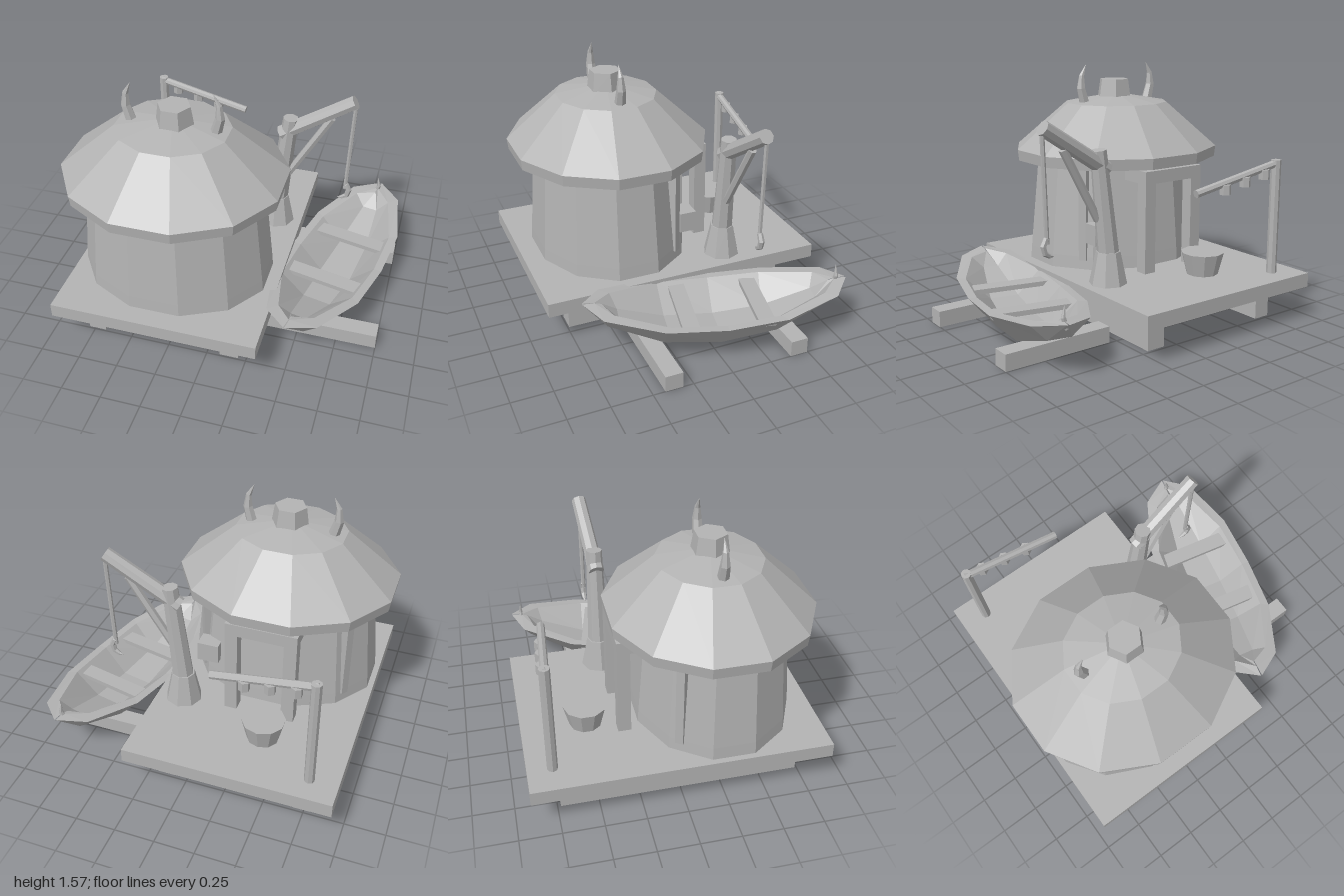
import * as THREE from 'three';

const grey = new THREE.MeshStandardMaterial({ color: 0xb3b3b3 });
grey.name = 'grey';

// Mesh with faceted normals
function add(parent, name, geometry, x = 0, y = 0, z = 0) {
  const geo = geometry.toNonIndexed();
  geo.computeVertexNormals();
  const mesh = new THREE.Mesh(geo, grey);
  mesh.name = name;
  mesh.position.set(x, y, z);
  parent.add(mesh);
  return mesh;
}

// Box given by its limits
function box(parent, name, x0, x1, y0, y1, z0, z1) {
  add(parent, name, new THREE.BoxGeometry(x1 - x0, y1 - y0, z1 - z0),
    (x0 + x1) / 2, (y0 + y1) / 2, (z0 + z1) / 2);
}

// Straight pole between two points
function pole(parent, name, a, b, rA, rB = rA, sides = 8) {
  const from = new THREE.Vector3(...a), to = new THREE.Vector3(...b);
  const dir = to.clone().sub(from);
  const mesh = add(parent, name, new THREE.CylinderGeometry(rB, rA, dir.length(), sides));
  mesh.position.copy(from).add(to).multiplyScalar(0.5);
  mesh.quaternion.setFromUnitVectors(new THREE.Vector3(0, 1, 0), dir.normalize());
}

// Skin over a row of closed rings (each ring clockwise about the direction of travel)
function loft(rings) {
  const n = rings[0].length, index = [];
  for (let i = 0; i < rings.length - 1; i++) {
    for (let j = 0; j < n; j++) {
      const a = i * n + j, b = i * n + (j + 1) % n;
      index.push(a, a + n, b, a + n, b + n, b);
    }
  }
  const geo = new THREE.BufferGeometry();
  geo.setAttribute('position', new THREE.Float32BufferAttribute(rings.flat(2), 3));
  geo.setIndex(index);
  return geo;
}

// Bent, tapering tube in the x-y plane; points are [x, y, radius], all distinct
function horn(points, sides = 6) {
  return loft(points.map(([x, y, r], i) => {
    const p = points[Math.max(i - 1, 0)], q = points[Math.min(i + 1, points.length - 1)];
    const len = Math.hypot(q[0] - p[0], q[1] - p[1]);
    const tx = (q[0] - p[0]) / len, ty = (q[1] - p[1]) / len;
    return Array.from({ length: sides }, (_, k) => {
      const a = -k / sides * Math.PI * 2;
      return [x - ty * r * Math.cos(a), y + tx * r * Math.cos(a), r * Math.sin(a)];
    });
  }));
}

// Twelve-sided turned shell, squashed along z
function shell(parent, name, profile, x, z, squash) {
  const pts = profile.map(([r, y]) => new THREE.Vector2(r, y));
  const geo = new THREE.LatheGeometry(pts, 12, Math.PI / 12);
  geo.scale(1, 1, squash);
  add(parent, name, geo, x, 0, z);
}

function buildDeck(root) {
  box(root, 'deck', -0.95, 0.35, 0.21, 0.3, -0.91, 0.9);
  box(root, 'deckBeam', -0.79, -0.68, 0, 0.21, -0.73, 0.74);
  box(root, 'deckBeam', 0.08, 0.2, 0, 0.21, -0.73, 0.74);
  for (const z of [0.37, -0.44]) box(root, 'boatSkid', 0.3, 1, 0, 0.1, z - 0.055, z + 0.055);
}

function buildHut(root) {
  const hut = new THREE.Group();
  hut.name = 'hut';
  root.add(hut);
  shell(hut, 'wall', [[0.613, 0.3], [0.607, 0.38], [0.55, 0.98]], -0.322, 0.29, 0.82);
  shell(hut, 'roof', [[0.5, 0.96], [0.69, 0.96], [0.699, 1.03], [0.35, 1.32], [0.001, 1.38]], -0.325, 0.27, 0.91);
  const cap = add(hut, 'chimney', new THREE.CylinderGeometry(0.1, 0.12, 0.13, 6), -0.31, 1.405, 0.275);
  cap.rotation.y = Math.PI / 6;

  // Curved roof horns and slanted wall posts, one per side
  for (const s of [-1, 1]) {
    const path = [[0.25, 1.29, 0.002], [0.255, 1.3, 0.037], [0.288, 1.42, 0.03], [0.283, 1.5, 0.018], [0.25, 1.57, 0.001]];
    const pts = path.map(([x, y, r]) => [s * x, y, r]);
    add(hut, 'roofHorn', horn(pts), -0.325, 0, 0.27);
    const post = add(hut, 'wallPost', new THREE.BoxGeometry(0.06, 0.6, 0.05), -0.322 + s * 0.455, 0.66, 0);
    post.rotation.y = s * 0.61;
  }
  box(hut, 'wallBox', 0.01, 0.15, 0.48, 0.61, -0.15, -0.04);

  // Back porch
  box(hut, 'porchLintel', -0.55, -0.1, 0.87, 0.95, -0.33, -0.12);
  box(hut, 'porchPost', -0.55, -0.47, 0.3, 0.87, -0.33, -0.25);
  box(hut, 'porchPost', -0.18, -0.1, 0.3, 0.87, -0.33, -0.25);
}

function buildCrane(root) {
  const crane = new THREE.Group();
  crane.name = 'crane';
  root.add(crane);
  pole(crane, 'craneFoot', [0.18, 0.3, -0.32], [0.18, 0.5, -0.32], 0.117, 0.075);
  pole(crane, 'mast', [0.18, 0.48, -0.32], [0.25, 1.12, -0.315], 0.068, 0.05);
  pole(crane, 'boom', [0.19, 1.0, -0.312], [0.648, 1.285, -0.343], 0.05, 0.046);
  pole(crane, 'brace', [0.25, 0.7, -0.31], [0.51, 1.15, -0.335], 0.026, 0.026, 6);
  pole(crane, 'rope', [0.652, 1.26, -0.343], [0.628, 0.62, -0.343], 0.014, 0.014, 6);
  add(crane, 'hook', horn([[0.628, 0.665, 0.002], [0.632, 0.655, 0.018], [0.654, 0.61, 0.02],
    [0.642, 0.565, 0.018], [0.61, 0.545, 0.013], [0.58, 0.54, 0.001]]), 0, 0, -0.343);
}

function buildBoat(root) {
  const boat = new THREE.Group();
  boat.name = 'boat';
  boat.position.set(0.65, 0, -0.06);
  boat.rotation.y = -0.217;
  root.add(boat);

  // Stations: length, rim half width, rim height, bottom half width, bottom height
  const half = [[0.81, 0.004, 0.34, 0.003, 0.325], [0.7, 0.168, 0.32, 0.07, 0.215],
    [0.36, 0.292, 0.28, 0.13, 0.1], [0, 0.312, 0.265, 0.15, 0.07]];
  const stations = [...half.map(([u, ...rest]) => [-u, ...rest]), ...half.slice(0, 3).reverse()];
  add(boat, 'hull', loft(stations.map(([z, w, y, b, f]) => {
    const wi = Math.max(w - 0.05, 0.002), bi = b * 0.7, fi = Math.min(f + 0.035, y - 0.01);
    const zi = z * 0.91, zb = z * 0.96, zf = z * 0.86;
    return [[w, y, z], [b, f, zb], [-b, f, zb], [-w, y, z],
      [-wi, y, zi], [-bi, fi, zf], [bi, fi, zf], [wi, y, zi]];
  })));

  // Seats across the hull
  for (const z of [-0.245, 0.206]) box(boat, 'boatSeat', -0.255, 0.255, 0.225, 0.255, z - 0.05, z + 0.05);

  // Bow spike
  add(root, 'bowSpike', horn([[0.79, 0.285, 0.002], [0.795, 0.295, 0.018], [0.815, 0.36, 0.014], [0.805, 0.43, 0.001]]), 0, 0, -0.785);
}

function buildYard(root) {
  add(root, 'bucket', new THREE.CylinderGeometry(0.135, 0.1, 0.14, 10), -0.415, 0.37, -0.51);

  // Sloping rail on a post, with hanging pegs
  pole(root, 'railPost', [-0.775, 0.3, -0.76], [-0.775, 1.02, -0.76], 0.032);
  pole(root, 'rail', [-0.79, 1.0, -0.76], [-0.157, 0.875, -0.717], 0.025);
  for (const t of [0.19, 0.43, 0.67]) {
    add(root, 'railPeg', new THREE.CylinderGeometry(0.034, 0.034, 0.06, 6),
      -0.79 + 0.633 * t, 0.965 - 0.125 * t, -0.772 + 0.043 * t);
  }
}

export function createModel() {
  const root = new THREE.Group();
  root.name = 'harbourHut';
  buildDeck(root);
  buildHut(root);
  buildCrane(root);
  buildBoat(root);
  buildYard(root);
  return root;
}
